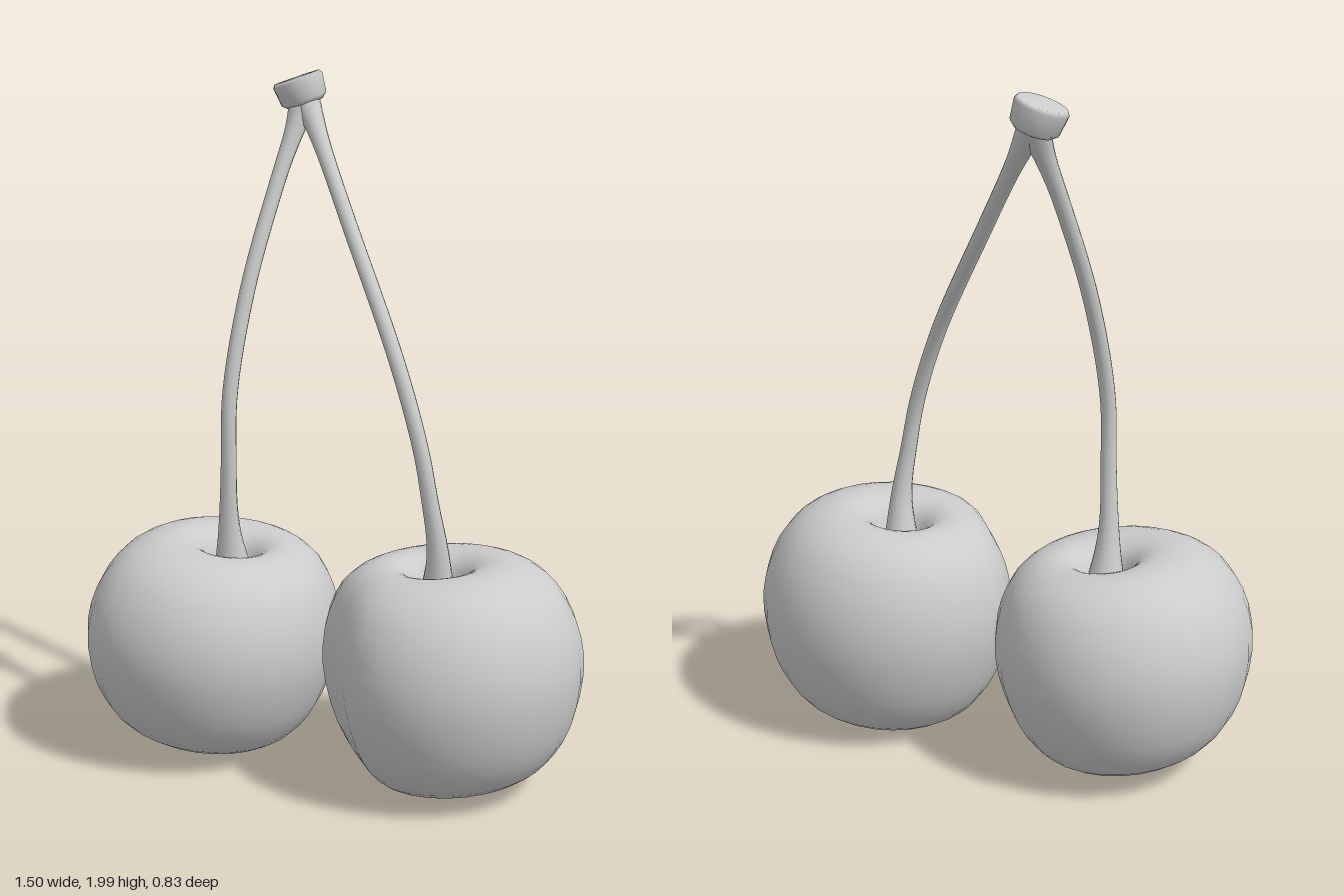
import * as THREE from 'three';
import { mergeVertices } from 'three/addons/utils/BufferGeometryUtils.js';

const material = new THREE.MeshStandardMaterial({ color: 0xcccccc });

// Weld seams and give smooth normals
function smooth(geometry) {
  geometry.deleteAttribute('uv');
  geometry.deleteAttribute('normal');
  const welded = mergeVertices(geometry, 1e-4);
  welded.computeVertexNormals();
  return welded;
}

function addMesh(parent, geometry, name) {
  const mesh = new THREE.Mesh(geometry, material);
  mesh.name = name;
  parent.add(mesh);
  return mesh;
}

// Fruit outline from bottom dimple to stem dimple: [radius, height], max radius 1
const outline = [
  [0, -0.297], [0.09, -0.3], [0.17, -0.312], [0.32, -0.325], [0.52, -0.312],
  [0.74, -0.258], [0.91, -0.15], [1, 0.005], [0.957, 0.14], [0.82, 0.244],
  [0.64, 0.3], [0.46, 0.318], [0.32, 0.31], [0.22, 0.28], [0.16, 0.235], [0.1, 0.216], [0, 0.212],
].map(([r, y]) => new THREE.Vector2(r, y));

// A fruit body: dimples shifted off centre, and one side pressed in or swelling out
function fruitGeometry({ rx, ry, rz, shift, side, depth }) {
  const profile = new THREE.SplineCurve(outline).getPoints(40);
  profile.forEach((p) => { p.x = Math.max(p.x, 0); });
  profile[0].x = profile[profile.length - 1].x = 0;
  const geometry = new THREE.LatheGeometry(profile, 28);
  const pos = geometry.attributes.position;
  for (let i = 0; i < pos.count; i++) {
    const x = pos.getX(i), z = pos.getZ(i);
    const r = Math.min(1, Math.hypot(x, z));
    let d = Math.atan2(z, x) - side;
    d = Math.atan2(Math.sin(d), Math.cos(d));
    const k = 1 - depth * r * Math.exp(-((d / 0.4) ** 2));
    pos.setXYZ(i, x * rx * k + shift[0] * (1 - r), pos.getY(i) * ry, z * rz * k + shift[1] * (1 - r));
  }
  return smooth(geometry);
}

// A thin stem, flared at the fruit and again at the cap
function stemGeometry(points, baseRadius) {
  const curve = new THREE.CatmullRomCurve3(points.map((p) => new THREE.Vector3(...p)));
  const rings = 40, sides = 12, thin = 0.0225;
  const geometry = new THREE.TubeGeometry(curve, rings, 1, sides);
  const pos = geometry.attributes.position;
  const v = new THREE.Vector3();
  for (let i = 0; i <= rings; i++) {
    const t = i / rings;
    const centre = curve.getPointAt(t);
    const radius = thin + (baseRadius - thin) * Math.exp(-((t / 0.085) ** 1.3))
      + 0.02 * Math.exp(-(((1 - t) / 0.07) ** 1.5));
    for (let j = 0; j <= sides; j++) {
      const n = i * (sides + 1) + j;
      v.fromBufferAttribute(pos, n).sub(centre).multiplyScalar(radius).add(centre);
      pos.setXYZ(n, v.x, v.y, v.z);
    }
  }
  return smooth(geometry);
}

const cherries = [
  {
    name: 'rightCherry', centre: [-0.381, 0.34, -0.022], tilt: -0.11,
    body: { rx: 0.369, ry: 0.95, rz: 0.393, shift: [0.03, -0.02], side: 2.36, depth: -0.04 },
    base: 0.06,
    stem: [[-0.325, 0.53, -0.035], [-0.325, 0.7, -0.01], [-0.315, 0.9, 0.01], [-0.31, 1.1, 0.005],
      [-0.28, 1.4, -0.07], [-0.23, 1.7, -0.19], [-0.195, 1.87, -0.265], [-0.19, 1.93, -0.29]],
  },
  {
    name: 'leftCherry', centre: [0.367, 0.343, 0.028], tilt: 0.08,
    body: { rx: 0.384, ry: 1, rz: 0.383, shift: [-0.025, -0.015], side: 2.55, depth: 0.12 },
    base: 0.056,
    stem: [[0.325, 0.54, 0.018], [0.332, 0.7, 0.045], [0.312, 0.85, 0.06], [0.283, 1.0, 0.06],
      [0.2, 1.23, 0.02], [0, 1.6, -0.13], [-0.15, 1.86, -0.26], [-0.19, 1.93, -0.29]],
  },
];

export function createModel() {
  const model = new THREE.Group();
  model.name = 'cherryPair';

  for (const c of cherries) {
    const cherry = new THREE.Group();
    cherry.name = c.name;
    model.add(cherry);

    // Body with the small blossom nub underneath
    const fruit = new THREE.Group();
    fruit.name = 'fruit';
    fruit.position.set(...c.centre);
    fruit.rotation.z = c.tilt;
    cherry.add(fruit);
    addMesh(fruit, fruitGeometry(c.body), 'fruitBody');
    const nub = addMesh(fruit, new THREE.SphereGeometry(0.038, 14, 10), 'blossomNub');
    nub.scale.y = 0.6;
    nub.position.set(c.body.shift[0], -0.3 * c.body.ry, c.body.shift[1]);

    addMesh(cherry, stemGeometry(c.stem, c.base), 'stem');
  }

  // Woody cap where the stems meet, with a slightly bevelled rim
  const capProfile = [[0, -0.046], [0.052, -0.046], [0.068, -0.032], [0.075, 0.024], [0.068, 0.034], [0, 0.035]]
    .map(([r, y]) => new THREE.Vector2(r, y));
  const cap = addMesh(model, new THREE.LatheGeometry(capProfile, 20), 'stemCap');
  cap.position.set(-0.2, 1.944, -0.29);
  cap.rotation.set(0.05, 0, 0.33);

  return model;
}
